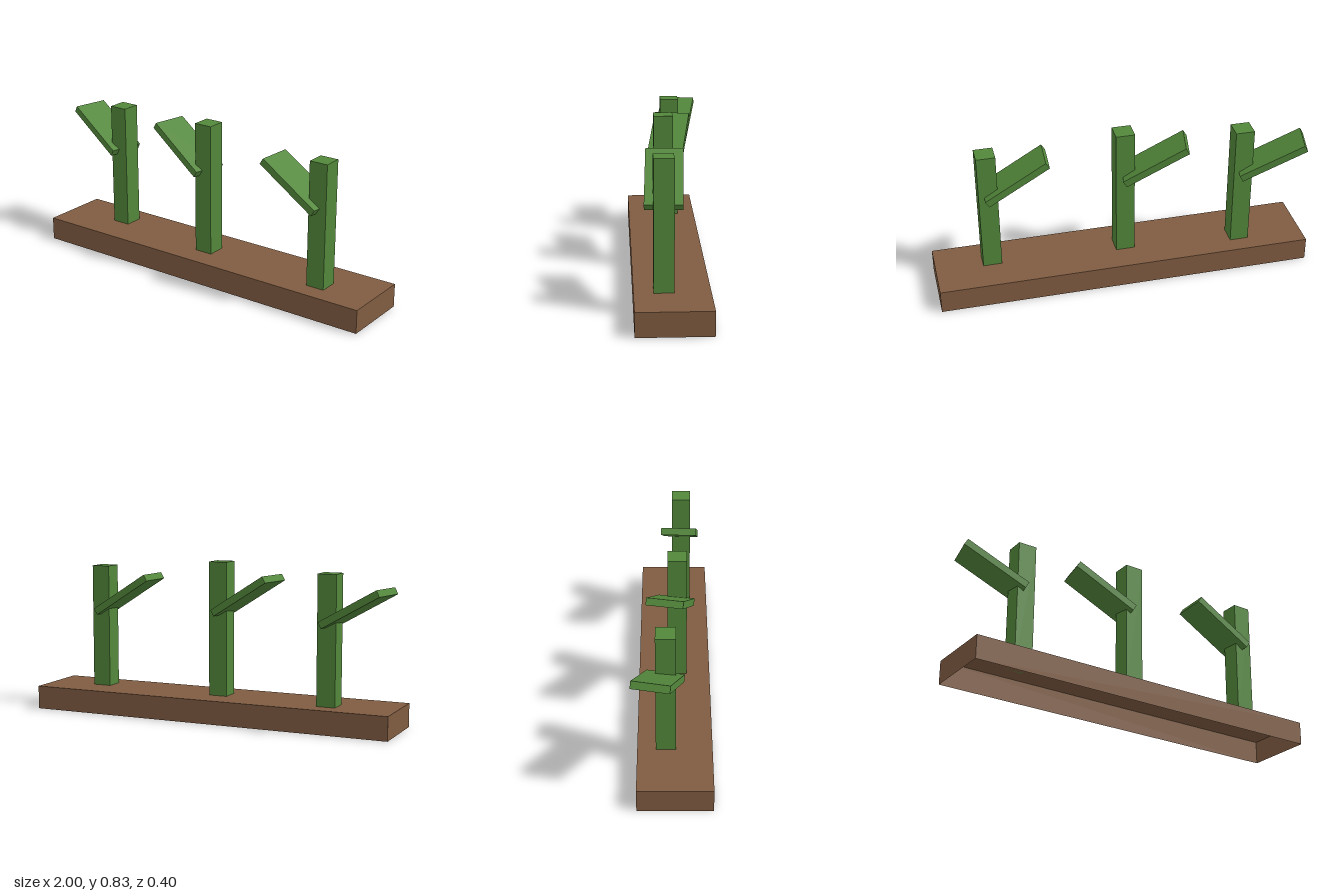
import * as THREE from 'three';

const brown = new THREE.MeshStandardMaterial({ color: 0x805c41, side: THREE.DoubleSide });
brown.name = 'brown';
const green = new THREE.MeshStandardMaterial({ color: 0x53883b });
green.name = 'green';

const BASE_H = 0.125;

function addBox(parent, name, geometry, material, x, y, z) {
  const mesh = new THREE.Mesh(geometry, material);
  mesh.name = name;
  mesh.position.set(x, y, z);
  parent.add(mesh);
  return mesh;
}

// box without its underside
function openBox(w, h, d) {
  const geometry = new THREE.BoxGeometry(w, h, d);
  const index = Array.from(geometry.index.array);
  index.splice(18, 6); // the fourth face is the bottom
  geometry.setIndex(index);
  geometry.clearGroups();
  return geometry;
}

export function createModel() {
  const model = new THREE.Group();
  model.name = 'plantedTray';

  // hollow base, open below
  addBox(model, 'base', openBox(2, BASE_H, 0.375), brown, 0, BASE_H / 2, 0.01);

  // each plant: stem centre and top, leaf centre, leaf tilt and turn
  const plants = [
    { stem: [-0.645, -0.035], top: 0.8, leaf: [-0.802, 0.635, -0.07], tilt: 0.5, turn: 0.21 },
    { stem: [-0.02, 0.024], top: 0.835, leaf: [-0.182, 0.666, -0.01], tilt: 0.54, turn: 0.19 },
    { stem: [0.698, 0.05], top: 0.788, leaf: [0.546, 0.638, 0.042], tilt: 0.56, turn: 0.055 },
  ];
  const leafGeometry = new THREE.BoxGeometry(0.375, 0.0375, 0.1875);

  for (const { stem, top, leaf, tilt, turn } of plants) {
    const plant = new THREE.Group();
    plant.name = 'plant';
    const h = top - BASE_H;
    addBox(plant, 'stem', new THREE.BoxGeometry(0.1, h, 0.1), green, stem[0], BASE_H + h / 2, stem[1]);
    addBox(plant, 'leaf', leafGeometry, green, ...leaf).rotation.set(0, -turn, -tilt);
    model.add(plant);
  }
  return model;
}
